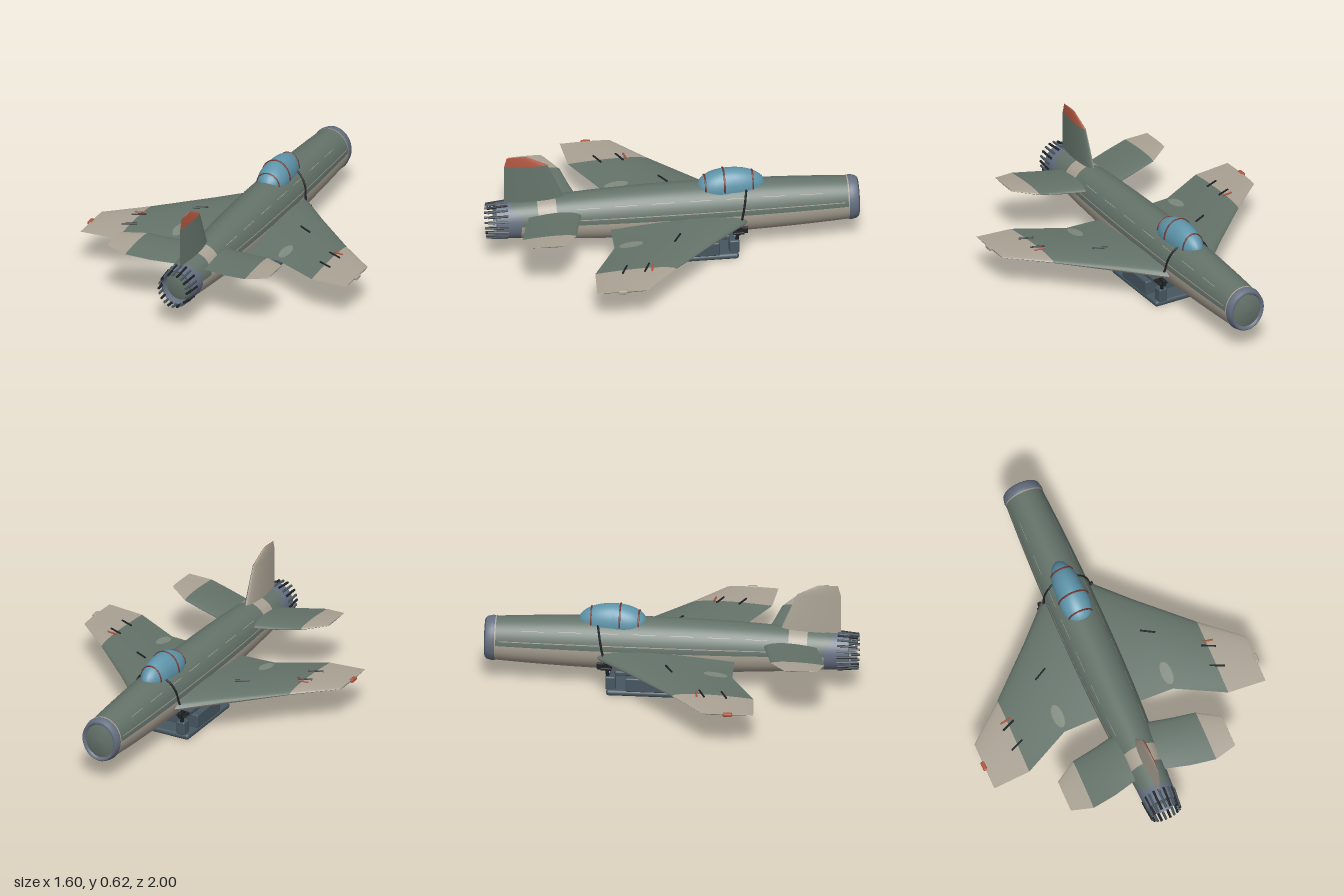
import * as THREE from 'three';
import { RoundedBoxGeometry } from 'three/addons/geometries/RoundedBoxGeometry.js';

const mat = (name, color) => {
  const m = new THREE.MeshStandardMaterial({ color, side: THREE.DoubleSide });
  m.name = name;
  return m;
};

const AXIS = 0.238, SQUASH = 0.88; // fuselage axis height and width-to-height ratio
const bodyRadius = (z) => 0.148 - (z < -0.1 ? 0.039 : 0.048) * (z + 0.1) ** 2;

// Flying surface stations: [span, leading z, trailing z, mid height, thickness]
const WING = [
  [0.05, -0.42, 0.35, 0.2, 0.09], [0.13, -0.39, 0.345, 0.2, 0.086], [0.315, -0.2, 0.35, 0.203, 0.065],
  [0.577, 0.05, 0.487, 0.208, 0.036], [0.785, 0.23, 0.503, 0.212, 0.012], [0.786, 0.23, 0.503, 0.212, 0],
];
const STAB = [
  [0.04, 0.49, 0.78, 0.287, 0.045], [0.1, 0.5, 0.785, 0.29, 0.042], [0.22, 0.53, 0.82, 0.3, 0.036],
  [0.355, 0.56, 0.847, 0.317, 0.026], [0.475, 0.64, 0.82, 0.334, 0.01], [0.476, 0.64, 0.82, 0.334, 0],
];
const FIN = [
  [0.32, 0.57, 0.905, 0, 0.046], [0.37, 0.59, 0.905, 0, 0.042], [0.56, 0.67, 0.905, 0, 0.024],
  [0.616, 0.78, 0.89, 0, 0.01], [0.617, 0.78, 0.89, 0, 0],
];
const foil = (t) => 2.598 * Math.sqrt(t) * (1 - t);

// One skin (upper +1 or lower -1) of a flying surface
function skin(stations, side, up) {
  const n = 15, pos = [], index = [];
  stations.forEach(([s, z0, z1, y, h], i) => {
    for (let j = 0; j < n; j++) {
      const t = (j / (n - 1)) ** 1.6;
      pos.push(side * s, y + up * foil(t) * h / 2, z0 + (z1 - z0) * t);
      if (i && j) {
        const d = i * n + j, c = d - 1, b = d - n, a = b - 1;
        if (side * up > 0) index.push(a, b, c, b, d, c);
        else index.push(a, c, b, b, c, d);
      }
    }
  });
  const g = new THREE.BufferGeometry();
  g.setAttribute('position', new THREE.Float32BufferAttribute(pos, 3));
  g.setIndex(index);
  g.computeVertexNormals();
  return g;
}

// Height of the wing's upper skin
function wingTop(x, z) {
  const s = Math.abs(x);
  const i = Math.max(1, Math.min(4, WING.findIndex((w) => w[0] >= s)));
  const a = WING[i - 1], b = WING[i], k = (s - a[0]) / (b[0] - a[0]);
  const [, z0, z1, y, h] = a.map((v, q) => v + (b[q] - v) * k);
  return y + foil(Math.min(1, Math.max(0, (z - z0) / (z1 - z0)))) * h / 2;
}

export function createModel() {
  const model = new THREE.Group();
  model.name = 'jetAircraft';
  const green = mat('greyGreen', 0x64736a), beige = mat('beige', 0xaaa294), slate = mat('slate', 0x667081);
  const steel = mat('darkSteel', 0x465660), black = mat('black', 0x1f2226), glass = mat('canopyBlue', 0x5f95ab);
  const red = mat('red', 0xb0563f), frameRed = mat('frameRed', 0x75372b), pale = mat('paleGreen', 0x7f8a7e);

  const add = (name, geo, material, x = 0, y = 0, z = 0) => {
    const m = new THREE.Mesh(geo, material);
    m.name = name;
    m.position.set(x, y, z);
    model.add(m);
    return m;
  };
  // Turned part along z; angle 0 is the belly, PI the spine
  const turned = (name, profile, material, start = 0, length = Math.PI * 2, seg = 40) => {
    const g = new THREE.LatheGeometry(profile.map(([r, z]) => new THREE.Vector2(r, z)), seg, start, length);
    g.rotateX(Math.PI / 2).scale(SQUASH, 1, 1);
    return add(name, g, material, 0, AXIS, 0);
  };
  const shell = (name, z0, z1, start, length, material, lift = 0, seg = 28) => {
    const n = Math.max(2, Math.ceil((z1 - z0) / 0.08)), p = [];
    for (let i = 0; i <= n; i++) {
      const z = z0 + (z1 - z0) * i / n;
      p.push([bodyRadius(z) + lift, z]);
    }
    return turned(name, p, material, start, length, seg);
  };
  const rod = (name, a, b, r, material) => {
    const from = new THREE.Vector3(...a), to = new THREE.Vector3(...b);
    return add(name, new THREE.TubeGeometry(new THREE.LineCurve3(from, to), 1, r, 6), material);
  };

  // Fuselage: green back, beige belly, beige band near the tail
  const H = Math.PI / 2;
  shell('fuselageBelly', -0.95, 0.82, -H, Math.PI, beige);
  shell('fuselageBack', -0.95, 0.63, H, Math.PI, green);
  shell('tailBand', 0.63, 0.73, H, Math.PI, beige);
  shell('fuselageTail', 0.73, 0.82, H, Math.PI, green);
  shell('tailSpine', 0.82, 0.92, Math.PI - 0.95, 1.9, green, 0.002);
  for (const s of [1, -1]) {
    const at = (a, w) => (s > 0 ? H + a : 3 * H - a - w);
    shell('sideStripe', -0.92, 0.6, at(0.2, 0.035), 0.035, beige, 0.0015, 2);
    for (let z = -0.8; z < 0.5; z += 0.2) shell('dashStripe', z, z + 0.12, at(0.68, 0.02), 0.02, beige, 0.0015, 2);
  }

  // Nose ring and dome
  turned('noseRing', [[0.095, -0.985], [0.106, -1], [0.117, -0.99], [0.125, -0.957], [0.119, -0.94]], slate);
  turned('noseDome', [[0.001, -1], [0.05, -0.997], [0.097, -0.983]], green);
  turned('noseLine', [[0.1215, -0.945], [0.1225, -0.938]], beige);

  // Exhaust: nozzle, inner wall, end disc and ring of petals
  turned('nozzle', [[bodyRadius(0.82), 0.82], [0.105, 0.88], [0.1, 0.95], [0.092, 0.955], [0.086, 0.9]], slate);
  turned('exhaustDisc', [[0.088, 0.91], [0.05, 0.922], [0.001, 0.926]], green);
  for (let i = 0; i < 20; i++) {
    const a = i / 20 * Math.PI * 2, x = Math.sin(a) * SQUASH, y = Math.cos(a);
    rod('exhaustPetal', [x * 0.104, AXIS + y * 0.104, 0.89], [x * 0.093, AXIS + y * 0.093, 1], 0.007, i % 2 ? black : steel);
  }

  // Wings and tailplanes
  for (const s of [1, -1]) {
    for (const [name, st] of [['wing', WING], ['tailplane', STAB]]) {
      add(name + 'Top', skin(st.slice(0, 4), s, 1), green);
      add(name + 'TipTop', skin(st.slice(3), s, 1), beige);
      add(name + 'Underside', skin(st, s, -1), beige);
    }
    add('wingTipLight', new RoundedBoxGeometry(0.022, 0.02, 0.05, 2, 0.006), s > 0 ? beige : red, s * 0.788, 0.212, 0.365);

    // Wing fittings
    const bar = (x0, z0, x1, z1, material) => rod('wingFence',
      [s * x0, wingTop(x0, z0) + 0.006, z0], [s * x1, wingTop(x1, z1) + 0.006, z1], 0.005, material);
    bar(0.275, -0.01, 0.347, 0.03, black);
    bar(0.543, 0.193, 0.617, 0.225, black);
    bar(0.543, 0.312, 0.617, 0.345, black);
    bar(0.555, 0.175, 0.615, 0.185, red);

    // Oval panels follow the wing's curve
    const oval = new THREE.CircleGeometry(1, 20).rotateX(-H).scale(0.03, 1, 0.065).translate(s * 0.315, 0, 0.26);
    const p = oval.attributes.position;
    for (let i = 0; i < p.count; i++) p.setY(i, wingTop(p.getX(i), p.getZ(i)) + 0.003);
    oval.computeVertexNormals();
    add('wingOvalPanel', oval, pale);
  }

  // Fin: green with red tip on one flank, beige on the other
  const fin = (name, st, up, material) => add(name, skin(st, 1, up).rotateZ(H), material);
  fin('finLeftFlank', FIN.slice(0, 3), -1, green);
  fin('finTip', FIN.slice(2), -1, red);
  fin('finRightFlank', FIN, 1, beige);

  // Canopy, wider toward its rear, with three hoops
  const CZ = -0.317, CL = 0.185, wide = (k) => 1 + 0.4 * Math.max(0, k);
  const canopy = new THREE.SphereGeometry(1, 32, 24);
  const cp = canopy.attributes.position;
  for (let i = 0; i < cp.count; i++) {
    const k = cp.getZ(i);
    cp.setXYZ(i, cp.getX(i) * 0.078 * wide(k), cp.getY(i) * 0.102, k * CL);
  }
  canopy.computeVertexNormals();
  add('canopy', canopy, glass, 0, 0.36, CZ);
  for (const z of [-0.175, -0.275, -0.43]) {
    const k = (z - CZ) / CL, r = Math.sqrt(1 - k * k);
    const hoop = new THREE.TorusGeometry(1, 0.05, 6, 28, Math.PI);
    add('canopyHoop', hoop.scale(0.079 * r * wide(k), 0.103 * r, 0.1), frameRed, 0, 0.36, z);
  }

  // Belly carriage
  const box = (name, w, h, d, x, y, z, material = steel, r = 0.008) =>
    add(name, new RoundedBoxGeometry(w, h, d, 2, r), material, x, y, z);
  box('carriageBase', 0.35, 0.032, 0.46, 0, 0.016, -0.11, steel, 0.014);
  box('carriageBox', 0.35, 0.08, 0.246, 0, 0.067, -0.113);
  box('carriagePlate', 0.18, 0.012, 0.01, 0, 0.08, 0.013, black, 0.003);
  for (const s of [1, -1]) {
    box('carriageRail', 0.03, 0.026, 0.39, s * 0.13, 0.12, -0.1);
    box('carriagePost', 0.05, 0.075, 0.055, s * 0.13, 0.065, -0.317);
    box('carriageClamp', 0.05, 0.014, 0.06, s * 0.145, 0.153, -0.34, black, 0.004);
    box('carriageHook', 0.018, 0.035, 0.03, s * 0.15, 0.165, -0.375, black, 0.004);
    rod('carriageStrut', [s * 0.13, 0.08, -0.33], [s * 0.145, 0.17, -0.34], 0.01, black);
    rod('carriageStrut', [s * 0.12, 0.11, 0.08], [s * 0.09, 0.17, 0.08], 0.01, black);

    // Strap from the clamp up over the fuselage
    const strap = [0.4, 0.8, 1.2, 1.55].map((a, i) => new THREE.Vector3(
      s * Math.sin(a) * 0.149 * SQUASH, AXIS + Math.cos(a) * 0.149, -0.395 + i * 0.01));
    strap.push(new THREE.Vector3(s * 0.148, 0.16, -0.345));
    add('strap', new THREE.TubeGeometry(new THREE.CatmullRomCurve3(strap), 20, 0.006, 6), black);
  }
  return model;
}
